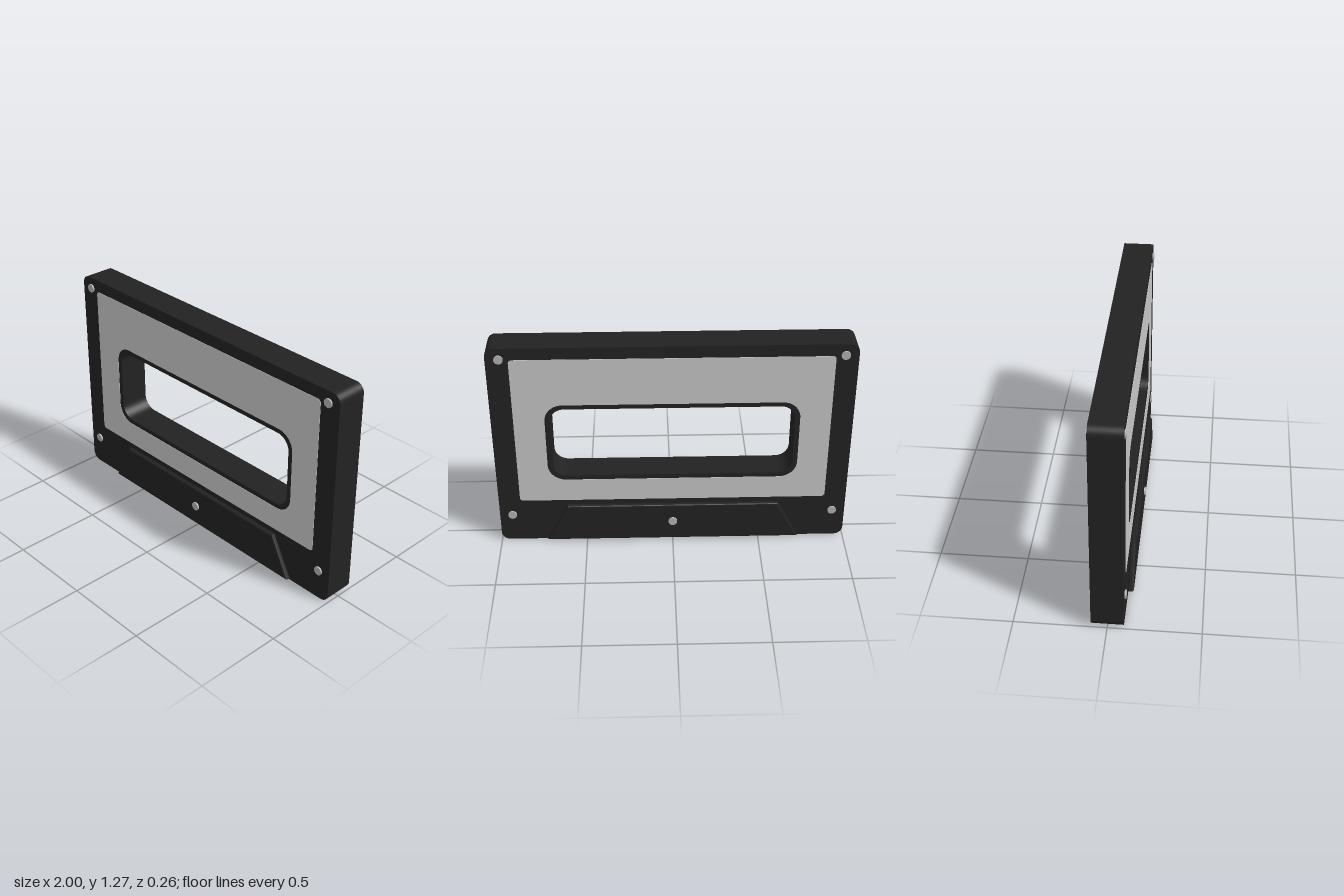
import * as THREE from 'three';

const HALF = 0.087; // half thickness of the shell

// Rounded rectangle outline between two corners
function roundedRect(Type, x0, y0, x1, y1, r) {
  const p = new Type();
  p.absarc(x1 - r, y0 + r, r, -Math.PI / 2, 0);
  p.absarc(x1 - r, y1 - r, r, 0, Math.PI / 2);
  p.absarc(x0 + r, y1 - r, r, Math.PI / 2, Math.PI);
  p.absarc(x0 + r, y0 + r, r, Math.PI, Math.PI * 1.5);
  p.closePath();
  return p;
}

export function createModel() {
  const black = new THREE.MeshStandardMaterial({ color: 0x222222 });
  black.name = 'black plastic';
  const grey = new THREE.MeshStandardMaterial({ color: 0xc8c8c8 });
  grey.name = 'label grey';
  const steel = new THREE.MeshStandardMaterial({ color: 0xb4b4b4 });
  steel.name = 'screw steel';

  const model = new THREE.Group();
  model.name = 'cassette';
  const add = (parent, name, geometry, material) => {
    const mesh = new THREE.Mesh(geometry, material);
    mesh.name = name;
    parent.add(mesh);
    return mesh;
  };

  // Shell with the window cut right through
  const shell = roundedRect(THREE.Shape, -1, 0, 1, 1.27, 0.05);
  shell.holes.push(roundedRect(THREE.Path, -0.677, 0.447, 0.677, 0.888, 0.08));
  const shellGeometry = new THREE.ExtrudeGeometry(shell, { depth: HALF * 2, bevelEnabled: false, curveSegments: 10 });
  shellGeometry.translate(0, 0, -HALF);
  add(model, 'shell', shellGeometry, black);

  // Label sheet, cut back around the window rim
  const label = roundedRect(THREE.Shape, -0.877, 0.277, 0.877, 1.2, 0.02);
  label.holes.push(roundedRect(THREE.Path, -0.705, 0.42, 0.705, 0.915, 0.1));
  const labelGeometry = new THREE.ExtrudeGeometry(label, { depth: 0.002, bevelEnabled: false, curveSegments: 10 });

  // Raised trapezoid with softened edges
  const b = 0.009;
  const trapezoid = new THREE.Shape([[-0.718, 0.019], [0.718, 0.019], [0.6, 0.241], [-0.6, 0.241]]
    .map(([x, y]) => new THREE.Vector2(x, y)));
  const plateGeometry = new THREE.ExtrudeGeometry(trapezoid, {
    depth: 0.031 - 2 * b, bevelThickness: b, bevelSize: b, bevelSegments: 3,
  });
  plateGeometry.translate(0, 0, b);

  const screwGeometry = new THREE.CylinderGeometry(0.025, 0.025, 0.02, 20);
  screwGeometry.rotateX(Math.PI / 2);

  // Both faces carry the same fittings
  for (const [name, turn] of [['front', 0], ['back', Math.PI]]) {
    const side = new THREE.Group();
    side.name = name + 'Face';
    side.rotation.y = turn;
    model.add(side);
    add(side, 'label', labelGeometry, grey).position.z = HALF;
    add(side, 'raisedPlate', plateGeometry, black).position.z = HALF;
    for (const x of [-0.927, 0.927]) {
      for (const y of [0.178, 1.205]) {
        add(side, 'cornerScrew', screwGeometry, steel).position.set(x, y, 0.086);
      }
    }
    add(side, 'plateScrew', screwGeometry, steel).position.set(0, 0.138, 0.118);
  }
  return model;
}
